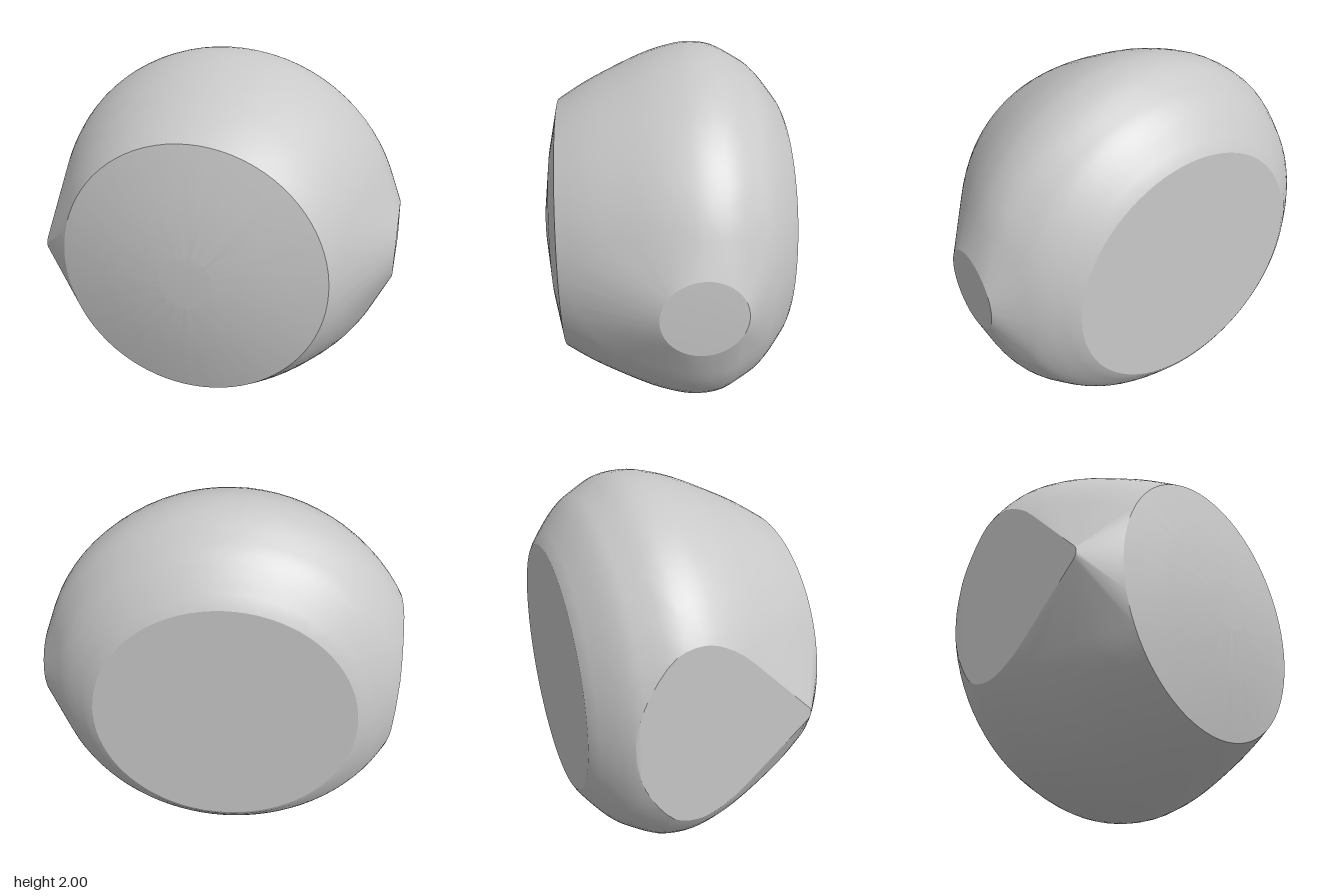
import * as THREE from 'three';
import { ConvexGeometry } from 'three/addons/geometries/ConvexGeometry.js';
import { toCreasedNormals } from 'three/addons/utils/BufferGeometryUtils.js';

const CX = -0.06, CY = 1;      // axis of the round body, along z
const LEFT_CUT = -0.935;       // flat facet on the -x side
const SEGMENTS = 80;

// Points of a circle around the body axis, cut off at the flat facet
function ring(radius, z) {
  const points = [];
  for (let i = 0; i < SEGMENTS; i++) {
    const a = (i / SEGMENTS) * Math.PI * 2;
    const x = CX + Math.cos(a) * radius;
    if (x >= LEFT_CUT) points.push(new THREE.Vector3(x, CY + Math.sin(a) * radius, z));
  }
  const reach = CX - LEFT_CUT;
  if (radius > reach) {
    const h = Math.sqrt(radius * radius - reach * reach);
    points.push(new THREE.Vector3(LEFT_CUT, CY + h, z), new THREE.Vector3(LEFT_CUT, CY - h, z));
  }
  return points;
}

// Points of a disc facing sideways
function sideDisc(x, z, radius, count) {
  return Array.from({ length: count }, (_, i) => {
    const a = (i / count) * Math.PI * 2;
    return new THREE.Vector3(x, CY + Math.sin(a) * radius, z + Math.cos(a) * radius);
  });
}

export function createModel() {
  const group = new THREE.Group();
  const grey = new THREE.MeshStandardMaterial({ color: 0xc8c8c8 });
  grey.name = 'light grey';

  // Rounded side profile as (radius, z), front to back
  const profile = new THREE.SplineCurve([
    [0.703, 0.55], [0.78, 0.425], [0.85, 0.29], [0.94, 0.09], [0.986, -0.06], [1, -0.17],
    [0.983, -0.29], [0.92, -0.41], [0.873, -0.48], [0.8, -0.55], [0.7, -0.627],
  ].map(([r, z]) => new THREE.Vector2(r, z)));

  const points = [];
  for (const p of profile.getPoints(30)) points.push(...ring(p.x, p.y));

  // Shallow front cap and bevelled flat back
  for (const [r, z] of [[0.145, 0.646], [0.46, 0.603], [0.665, -0.646]]) points.push(...ring(r, z));

  // Small disc on the +x side, narrow nub at the front of the -x facet
  points.push(...sideDisc(0.933, -0.14, 0.212, 48));
  points.push(...sideDisc(LEFT_CUT, 0.37, 0.048, 16));

  const body = new THREE.Mesh(toCreasedNormals(new ConvexGeometry(points), 0.3), grey);
  body.name = 'roundedBody';
  group.add(body);
  return group;
}
